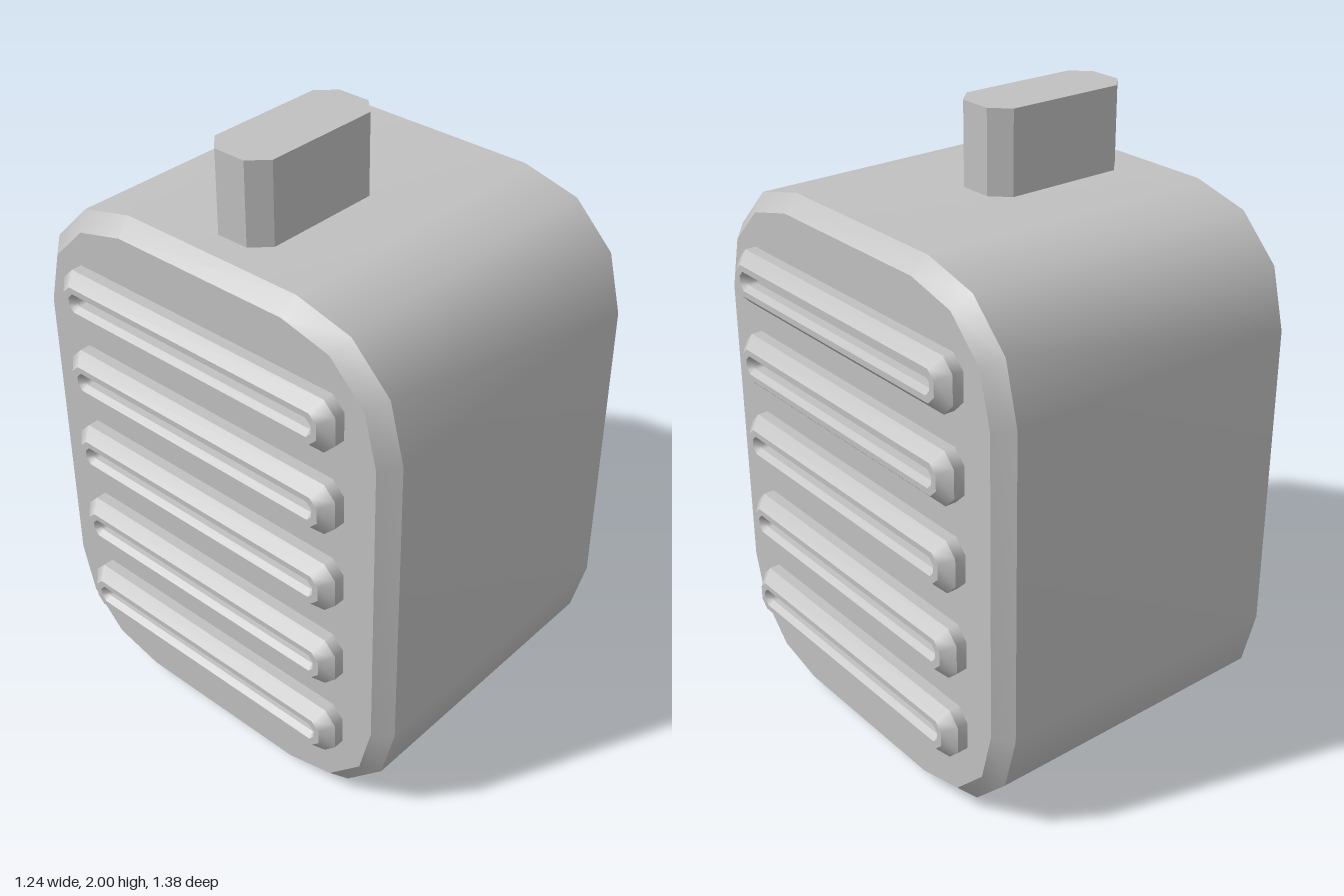
import * as THREE from 'three';
import { mergeGeometries } from 'three/addons/utils/BufferGeometryUtils.js';

// Outline of a rectangle with cut corners; corner lists (dx, dy) insets from the sharp corner.
function outline(w, h, corner) {
  const back = corner.map(([a, b]) => [a, b]).reverse();
  const pts = [];
  [[1, 1, corner], [-1, 1, back], [-1, -1, corner], [1, -1, back]].forEach(([sx, sy, list]) =>
    list.forEach(([a, b]) => pts.push([sx * (w - a), sy * (h - b)])));
  return pts;
}

// Skins rings stacked along x; each band is smooth around and sharp at its edges.
function loft(rings) {
  const parts = [];
  const at = ({ x, pts }) => pts.map(([u, v]) => [x, v, -u]);
  const make = (verts, index) => {
    const g = new THREE.BufferGeometry();
    g.setAttribute('position', new THREE.Float32BufferAttribute(verts.flat(), 3));
    g.setIndex(index);
    g.computeVertexNormals();
    parts.push(g);
  };
  const n = rings[0].pts.length;
  for (let r = 0; r < rings.length - 1; r++) {
    const index = [];
    for (let i = 0; i < n; i++) {
      const j = (i + 1) % n;
      index.push(i, j, n + j, i, n + j, n + i);
    }
    make([...at(rings[r]), ...at(rings[r + 1])], index);
  }
  const first = [], last = [];
  for (let i = 1; i < n - 1; i++) {
    first.push(0, i + 1, i);
    last.push(0, i, i + 1);
  }
  make(at(rings[0]), first);
  make(at(rings[rings.length - 1]), last);
  return mergeGeometries(parts);
}

export function createModel() {
  const model = new THREE.Group();
  const grey = new THREE.MeshStandardMaterial({ color: 0xc0c0c0 });
  grey.name = 'plain grey';

  const add = (name, geometry, parent = model) => {
    const mesh = new THREE.Mesh(geometry, grey);
    mesh.name = name;
    parent.add(mesh);
    return mesh;
  };

  // Rounded housing with chamfered side rims
  const rounded = (r) => [[0, r], [0.13 * r, 0.49 * r], [0.49 * r, 0.13 * r], [r, 0]];
  const wide = outline(0.69, 0.87, rounded(0.37));
  const narrow = outline(0.64, 0.82, rounded(0.33));
  add('housing', loft([
    { x: -0.55, pts: narrow }, { x: -0.5, pts: wide },
    { x: 0.5, pts: wide }, { x: 0.55, pts: narrow },
  ])).position.y = 0.87;

  // Raised side vents with a sunken slot
  const slotRing = (x, w, h, c) => ({ x, pts: outline(w, h, [[0, c], [c, 0]]) });
  const vent = loft([
    slotRing(0.53, 0.53, 0.085, 0.04),
    slotRing(0.585, 0.53, 0.085, 0.04),
    slotRing(0.62, 0.495, 0.05, 0.026),
    slotRing(0.62, 0.475, 0.031, 0.018),
    slotRing(0.6, 0.462, 0.018, 0.01),
    slotRing(0.57, 0.462, 0.018, 0.01),
  ]);
  for (const side of ['left', 'right']) {
    const vents = new THREE.Group();
    vents.name = side + 'Vents';
    if (side === 'right') vents.rotation.y = Math.PI;
    for (const y of [0.32, 0.605, 0.893, 1.172, 1.45]) add('vent', vent, vents).position.y = y;
    model.add(vents);
  }

  // Off-centre top button
  const shape = new THREE.Shape(
    outline(0.25, 0.108, [[0, 0.054], [0.054, 0]]).map(([x, y]) => new THREE.Vector2(x, y)));
  const button = new THREE.ExtrudeGeometry(shape, { depth: 0.3, bevelEnabled: false });
  button.rotateX(-Math.PI / 2);
  add('topButton', button).position.set(-0.16, 1.7, 0);

  return model;
}
